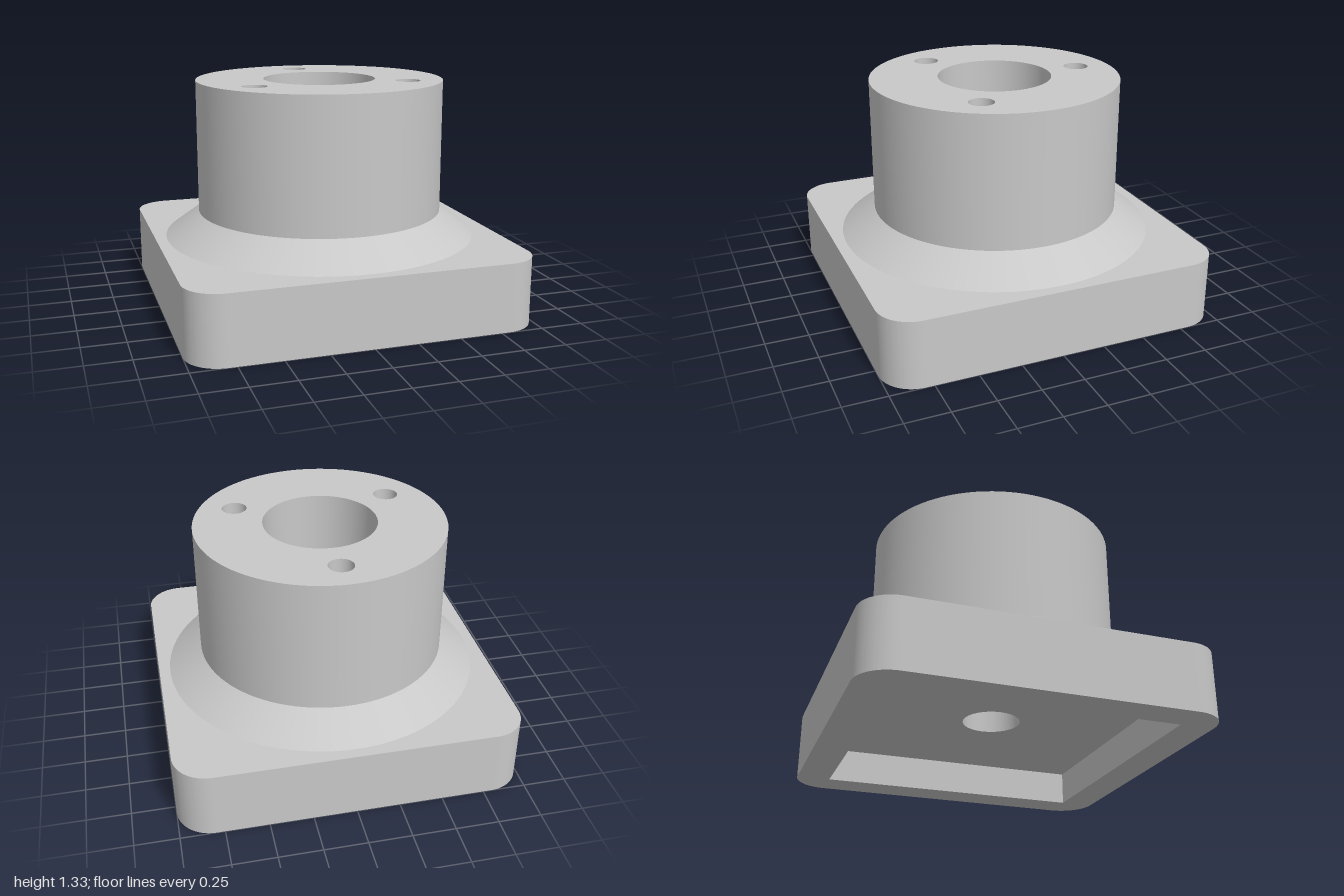
import * as THREE from 'three';
import { toCreasedNormals } from 'three/addons/utils/BufferGeometryUtils.js';

const SEG = 96;
const BASE_H = 0.4, POCKET_H = 0.2, POCKET = 0.8, CORNER = 0.2;
const TOP = 1.333, BODY_R = 0.735, CONE_R = 0.935, CONE_TOP = 0.547;
const BORE_R = 0.333, BORE_FLOOR = 0.4, THROUGH_R = 0.169;
const SCREW_R = 0.073, SCREW_RING = 0.533, SCREW_FLOOR = 0.6;

export function createModel() {
  const model = new THREE.Group();
  const grey = new THREE.MeshStandardMaterial({ color: 0xc8c8c8 });
  grey.name = 'plain grey';

  const add = (name, geometry, parent = model) => {
    const mesh = new THREE.Mesh(geometry, grey);
    mesh.name = name;
    parent.add(mesh);
    return mesh;
  };

  // Turned surface: one sharp-edged band per profile segment (upward faces out, downward faces in)
  const turned = (name, profile) => {
    const group = new THREE.Group();
    group.name = name;
    for (let i = 0; i + 1 < profile.length; i++) {
      const band = [profile[i], profile[i + 1]].map(([r, y]) => new THREE.Vector2(r, y));
      add(`${name}Band`, new THREE.LatheGeometry(band, SEG), group);
    }
    model.add(group);
    return group;
  };

  // Horizontal face with holes, facing up (1) or down (-1)
  const face = (name, shape, holes, y, dir) => {
    shape.holes.push(...holes);
    const geometry = new THREE.ShapeGeometry(shape, SEG / 2);
    add(name, geometry.rotateX(-dir * Math.PI / 2).translate(0, y, 0));
  };

  const circle = (r, x = 0, y = 0, Type = THREE.Path) =>
    new Type().absarc(x, y, r, 0, Math.PI * 2, false);

  const square = (h, Type) =>
    new Type([[-h, -h], [h, -h], [h, h], [-h, h]].map(([x, y]) => new THREE.Vector2(x, y)));

  const roundedSquare = () => {
    const s = new THREE.Shape();
    const c = 1 - CORNER;
    [[c, c], [-c, c], [-c, -c], [c, -c]].forEach(([x, y], i) =>
      s.absarc(x, y, CORNER, i * Math.PI / 2, (i + 1) * Math.PI / 2, false));
    s.closePath();
    return s;
  };

  // Base: outer wall is the side band of an extrusion, without its caps
  const block = new THREE.ExtrudeGeometry(roundedSquare(), { depth: BASE_H, bevelEnabled: false, curveSegments: 16 });
  const { start, count } = block.groups[1];
  const wall = new THREE.BufferGeometry();
  wall.setAttribute('position', new THREE.BufferAttribute(
    block.attributes.position.array.slice(start * 3, (start + count) * 3), 3));
  add('baseWall', toCreasedNormals(wall.rotateX(-Math.PI / 2), 0.5));
  face('baseTop', roundedSquare(), [circle(CONE_R)], BASE_H, 1);
  face('baseRim', roundedSquare(), [square(POCKET, THREE.Path)], 0, -1);

  // Square pocket underneath
  face('pocketCeiling', square(POCKET, THREE.Shape), [circle(THROUGH_R)], POCKET_H, -1);
  for (let i = 0; i < 4; i++) {
    const side = new THREE.PlaneGeometry(POCKET * 2, POCKET_H);
    add('pocketWall', side.translate(0, POCKET_H / 2, -POCKET).rotateY(i * Math.PI / 2));
  }

  // Round body with its sloping foot, and the stepped bore
  turned('body', [[CONE_R, BASE_H], [BODY_R, CONE_TOP], [BODY_R, TOP]]);
  turned('bore', [[BORE_R, TOP], [BORE_R, BORE_FLOOR], [THROUGH_R, BORE_FLOOR], [THROUGH_R, POCKET_H]]);

  // Three blind screw holes in the top face
  const spots = [0, 1, 2].map((i) => {
    const a = Math.PI / 2 + i * Math.PI * 2 / 3;
    return [Math.cos(a) * SCREW_RING, Math.sin(a) * SCREW_RING];
  });
  face('bodyTop', circle(BODY_R, 0, 0, THREE.Shape),
    [circle(BORE_R), ...spots.map(([x, y]) => circle(SCREW_R, x, y))], TOP, 1);
  for (const [x, y] of spots) {
    turned('screwHole', [[SCREW_R, TOP], [SCREW_R, SCREW_FLOOR], [0, SCREW_FLOOR]]).position.set(x, 0, -y);
  }

  return model;
}
